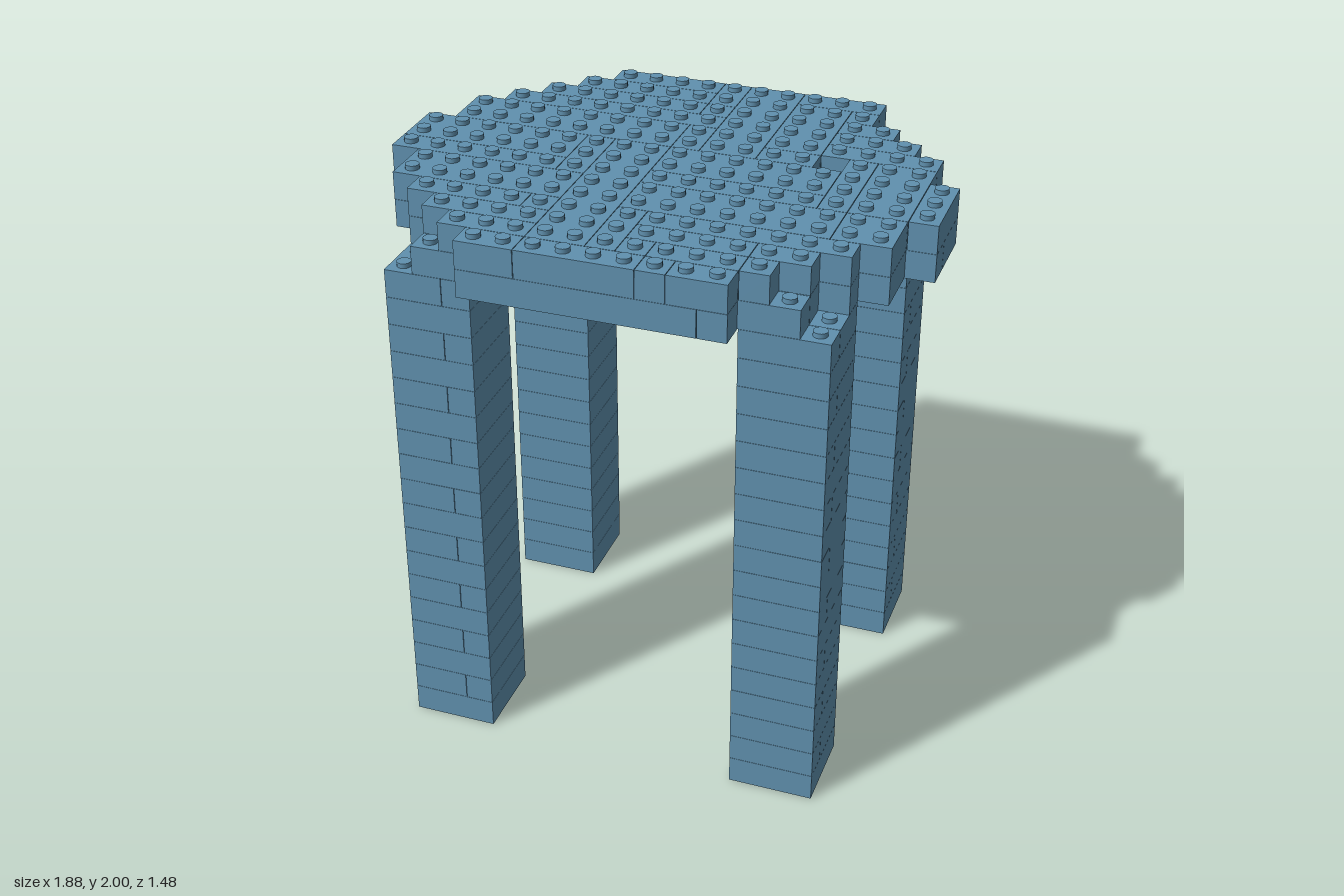
import * as THREE from 'three';

const P = 0.099;      // stud pitch
const H = 0.0992;     // brick height
const STUD = 0.016;   // stud height
const GAP = 0.001;    // inset that leaves a thin seam around each brick

const blue = new THREE.MeshStandardMaterial({ color: 0x6091af });
blue.name = 'greyBlue';

// One brick covering stud columns c0..c1 and rows r0..r1 on the given layer
function brick(parent, name, layer, c0, c1, r0, r1) {
  const geometry = new THREE.BoxGeometry(
    (c1 - c0 + 1) * P - 2 * GAP, H - GAP, (r1 - r0 + 1) * P - 2 * GAP);
  const mesh = new THREE.Mesh(geometry, blue);
  mesh.name = name;
  mesh.position.set((c0 + c1) / 2 * P, (layer + 0.5) * H, (r0 + r1) / 2 * P);
  parent.add(mesh);
}

const studGeometry = new THREE.CylinderGeometry(0.024, 0.024, STUD + GAP, 16);

// A stud standing on top of the given layer
function stud(parent, layer, c, r) {
  const mesh = new THREE.Mesh(studGeometry, blue);
  mesh.name = 'stud';
  mesh.position.set(c * P, (layer + 1) * H + (STUD - GAP) / 2, r * P);
  parent.add(mesh);
}

function group(parent, name) {
  const g = new THREE.Group();
  g.name = name;
  parent.add(g);
  return g;
}

// Fills a rounded seat layer: the key bricks first, then each row's remaining runs.
// halfWidths gives the outermost column for each distance from the middle row.
function seatLayer(parent, name, layer, halfWidths, keyBricks, isHole) {
  for (const [c0, c1, r0, r1] of keyBricks) brick(parent, name, layer, c0, c1, r0, r1);
  const taken = (c, r) => isHole(c, r) ||
    keyBricks.some(([c0, c1, r0, r1]) => c >= c0 && c <= c1 && r >= r0 && r <= r1);

  for (let r = -7; r <= 7; r++) {
    const last = r === -1 || r === 2 ? r + 1 : r;   // these rows use bricks two deep
    const half = halfWidths[Math.abs(r)];
    let start = -half;
    for (let c = -half; c <= half + 1; c++) {
      if (c <= half && !taken(c, r)) continue;
      if (c > start) brick(parent, name, layer, start, c - 1, r, last);
      start = c + 1;
    }
    r = last;
  }
}

// Key bricks: first column, last column, first row, last row
const upperKeys = [
  [0, 0, -7, -6], [1, 2, -7, -2], [3, 5, -7, -7], [3, 4, -6, -3],
  [0, 0, -5, -5], [-8, -1, -3, -2], [0, 0, -3, -2],
  [-3, -3, -1, 1], [-2, -1, -1, 6], [6, 6, -2, 1], [7, 8, -2, 1], [9, 9, -1, 1],
  [7, 8, 2, 3], [-3, -3, 4, 4], [0, 0, 4, 6], [1, 4, 5, 5], [2, 4, 6, 6],
  [-2, 1, 7, 7], [2, 2, 7, 7],
];
const lowerKeys = [
  [0, 1, -7, -4], [-3, -2, -3, 1], [4, 5, -2, 0], [2, 3, 1, 3], [-1, 0, 4, 6], [4, 4, 7, 7],
];

export function createModel() {
  const model = new THREE.Group();
  model.name = 'brickStool';

  // Legs: 3 x 3 columns of eighteen layers, alternate layers cut in two
  for (const sx of [-1, 1]) {
    for (const sz of [-1, 1]) {
      const leg = group(model, `${sz > 0 ? 'front' : 'back'}${sx > 0 ? 'Left' : 'Right'}Leg`);
      const c0 = sx > 0 ? 5 : -7;
      const r0 = sz > 0 ? 4 : -6;
      for (let i = 0; i < 18; i++) {
        const cut = i % 2 === 1;
        if (cut && sx > 0) {
          brick(leg, 'legBrick', i, c0, c0 + 2, r0, r0 + 1);
          brick(leg, 'legBrick', i, c0, c0 + 2, r0 + 2, r0 + 2);
        } else if (cut && sz > 0) {
          brick(leg, 'legBrick', i, c0, c0 + 1, r0, r0 + 2);
          brick(leg, 'legBrick', i, c0 + 2, c0 + 2, r0, r0 + 2);
        } else {
          brick(leg, 'legBrick', i, c0, c0 + 2, r0, r0 + 2);
        }
      }
      // Studs left bare at the outer corner
      stud(leg, 17, sx * 7, sz * 5);
      stud(leg, 17, sx * 7, sz * 6);
    }
  }

  // Lower seat layer, with studs where the upper layer leaves it bare
  const lower = group(model, 'lowerSeat');
  seatLayer(lower, 'lowerSeatBrick', 18, [9, 9, 8, 8, 7, 6, 6, 4], lowerKeys, () => false);
  for (const sx of [-6, 6]) for (const sz of [-6, 6]) stud(lower, 18, sx, sz);
  stud(lower, 18, 5, -2);

  // Upper seat layer with one missing cell and a stud on every other cell
  const upper = group(model, 'upperSeat');
  const upperHalf = [9, 9, 8, 8, 7, 6, 5, 4];
  const isHole = (c, r) => c === 5 && r === -2;
  seatLayer(upper, 'upperSeatBrick', 19, upperHalf, upperKeys, isHole);
  for (let r = -7; r <= 7; r++) {
    const half = upperHalf[Math.abs(r)];
    for (let c = -half; c <= half; c++) if (!isHole(c, r)) stud(upper, 19, c, r);
  }
  stud(upper, 19, 5, -7);   // end of the overhanging back brick

  return model;
}
